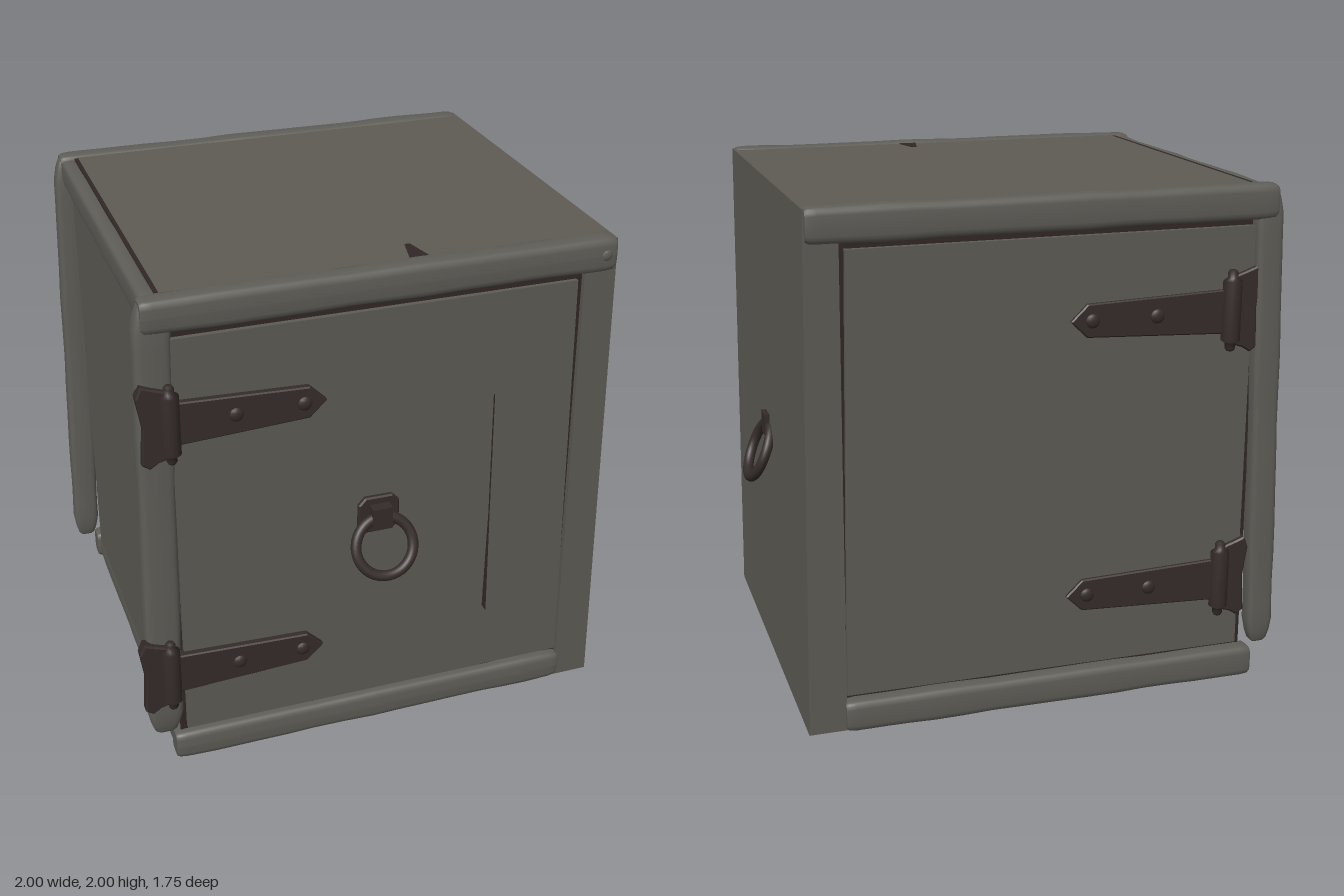
import * as THREE from 'three';

const material = (name, color) => Object.assign(new THREE.MeshStandardMaterial({ color }), { name });

export function createModel() {
  const wood = material('weathered wood', 0x5e5b54);
  const beamWood = material('beam wood', 0x5f5d57);
  const iron = material('dark iron', 0x352c2a);
  const seam = material('dark seam', 0x302725);
  const model = new THREE.Group();
  model.name = 'cabinet';

  const add = (parent, name, geometry, mat, x = 0, y = 0, z = 0) => {
    const mesh = new THREE.Mesh(geometry, mat);
    mesh.name = name;
    mesh.position.set(x, y, z);
    parent.add(mesh);
    return mesh;
  };
  const vectors = points => points.map(p => new THREE.Vector2(...p));
  const plate = (points, depth, bevel = 0) => new THREE.ExtrudeGeometry(new THREE.Shape(vectors(points)), {
    depth, bevelEnabled: bevel > 0, bevelSize: bevel, bevelThickness: bevel, bevelOffset: -bevel, bevelSegments: 1,
  });
  const block = (name, mat, x0, x1, y0, y1, z0, z1) => add(model, name,
    new THREE.BoxGeometry(x1 - x0, y1 - y0, z1 - z0), mat, (x0 + x1) / 2, (y0 + y1) / 2, (z0 + z1) / 2);

  // Rounded, uneven beam between two points; rx, rz are half sizes, the ends
  // shrink to endSize over the distance endLength
  const beam = (name, from, to, rx, rz, phase, endSize = 0.85, endLength = 0.02) => {
    const a = new THREE.Vector3(...from), b = new THREE.Vector3(...to);
    const length = a.distanceTo(b);
    const g = new THREE.CylinderGeometry(1, 1, length, 20, 20);
    const p = g.attributes.position;
    const soft = v => Math.sign(v) * Math.pow(Math.abs(v), 0.5);
    for (let i = 0; i < p.count; i++) {
      const t = 0.5 * Math.sin(Math.PI * p.getY(i) / length);
      const worn = 0.97 + 0.025 * Math.sin(t * 17 + phase) + 0.015 * Math.sin(t * 31 + phase * 2);
      const toEnd = Math.max(0, Math.min(1, length * (0.5 - Math.abs(t)) / endLength));
      const s = worn * (endSize + (1 - endSize) * Math.sqrt(toEnd));
      p.setXYZ(i, soft(p.getX(i)) * rx * s, t * length, soft(p.getZ(i)) * rz * s);
    }
    g.computeVertexNormals();
    const mesh = add(model, name, g, beamWood, ...a.clone().add(b).multiplyScalar(0.5).toArray());
    mesh.quaternion.setFromUnitVectors(new THREE.Vector3(0, 1, 0), b.sub(a).normalize());
  };

  // Carcass and the slanted right side
  block('carcass', wood, -0.845, 0.8, 0.02, 1.985, -0.79, 0.7);
  add(model, 'rightSide', plate([[0.77, 0.01], [0.915, 0.01], [0.88, 1.99], [0.755, 1.99]], 1.56), wood, 0, 0, -0.83);
  block('topBoard', wood, -0.83, 0.88, 1.95, 1.99, -0.78, 0.66);

  // Raised left panel over its dark surround
  block('leftPanelGap', seam, -0.85, -0.84, 0.1, 1.89, -0.775, 0.66);
  block('leftPanel', wood, -0.872, -0.845, 0.12, 1.85, -0.735, 0.635);

  // Doors, raised inside dark gaps
  const gap = new THREE.Shape(vectors([[-0.85, 0.125], [0.785, 0.125], [0.76, 1.875], [-0.85, 1.875]]));
  gap.holes.push(new THREE.Path(vectors([[-0.825, 0.147], [-0.825, 1.84], [0.733, 1.84], [0.765, 0.147]])));
  const gapGeometry = new THREE.ExtrudeGeometry(gap, { depth: 0.008, bevelEnabled: false });
  add(model, 'frontDoorGap', gapGeometry, seam, 0, 0, 0.7);
  add(model, 'backDoorGap', gapGeometry, seam, 0, 0, -0.798);
  add(model, 'frontDoorWidePlank', plate([[-0.825, 0.147], [0.425, 0.147], [0.425, 1.84], [-0.825, 1.84]], 0.028), wood, 0, 0, 0.7);
  add(model, 'frontDoorNarrowPlank', plate([[0.425, 0.147], [0.765, 0.147], [0.733, 1.84], [0.425, 1.84]], 0.025), wood, 0, 0, 0.7);
  add(model, 'backDoor', plate([[-0.825, 0.147], [0.765, 0.147], [0.733, 1.84], [-0.825, 1.84]], 0.03), wood, 0, 0, -0.82);
  block('topGap', seam, -0.845, -0.825, 1.982, 1.99, -0.77, 0.65);

  // Cracks in the door and top board
  add(model, 'doorCrack', plate([[0.415, 0.45], [0.433, 0.42], [0.426, 0.9], [0.42, 1.42], [0.415, 1.42], [0.421, 0.9]], 0.004), seam, 0, 0, 0.725);
  const notch = add(model, 'topCrack', plate([[0.085, -0.67], [0.165, -0.67], [0.135, -0.535], [0.115, -0.535]], 0.004), seam, 0, 1.988, 0);
  notch.rotation.x = -Math.PI / 2;

  // Beams along the front, back and left edges
  beam('frontTopBeam', [-0.915, 1.932, 0.7], [0.875, 1.932, 0.7], 0.068, 0.052, 0);
  beam('frontBottomBeam', [-0.875, 0.07, 0.7], [0.775, 0.07, 0.7], 0.064, 0.052, 1);
  beam('backTopBeam', [-0.9, 1.932, -0.815], [0.875, 1.932, -0.815], 0.068, 0.048, 2);
  beam('backBottomBeam', [-0.88, 0.07, -0.815], [0.775, 0.07, -0.815], 0.064, 0.048, 3);
  beam('frontPost', [-0.908, 0.14, 0.695], [-0.873, 1.985, 0.695], 0.071, 0.045, 4, 0.45, 0.1);
  beam('backPost', [-0.925, 0.14, -0.81], [-0.873, 1.985, -0.81], 0.057, 0.042, 5, 0.45, 0.1);
  beam('leftTopBeam', [-0.868, 1.93, -0.78], [-0.868, 1.93, 0.67], 0.036, 0.058, 6);
  beam('leftBottomBeam', [-0.84, 0.075, -0.78], [-0.84, 0.075, 0.67], 0.034, 0.055, 7);
  const peg = add(model, 'beamPeg', new THREE.SphereGeometry(0.025, 12, 8), beamWood, 0.83, 1.935, 0.745);
  peg.scale.z = 0.5;

  // Strap hinge; side -1 mirrors it onto the back
  const addHinge = (name, x, y, z, length, side) => {
    const hinge = new THREE.Group();
    hinge.name = name;
    hinge.position.set(x, y, z);
    hinge.scale.z = side;
    model.add(hinge);
    add(hinge, 'hingePlate', plate([[0, -0.13], [-0.05, -0.145], [-0.08, -0.165], [-0.11, -0.145], [-0.1, 0],
      [-0.118, 0.12], [-0.1, 0.165], [-0.06, 0.15], [0, 0.13]], 0.04, 0.006), iron);
    add(hinge, 'hingeStrap', plate([[0, -0.09], [length - 0.065, -0.063], [length, 0], [length - 0.065, 0.063],
      [0, 0.082]], 0.035, 0.005), iron);
    const barrel = [[0, -0.155], [0.014, -0.155], [0.02, -0.145], [0.02, -0.125], [0.036, -0.115],
      [0.036, 0.115], [0.02, 0.125], [0.02, 0.145], [0.014, 0.155], [0, 0.155]];
    add(hinge, 'hingeBarrel', new THREE.LatheGeometry(vectors(barrel), 16), iron, 0, 0, 0.038);
    for (const rx of [length - 0.34, length - 0.085]) {
      const rivet = add(hinge, 'rivet', new THREE.SphereGeometry(0.028, 12, 8), iron, rx, 0, 0.039);
      rivet.scale.z = 0.5;
    }
  };
  addHinge('upperFrontHinge', -0.835, 1.525, 0.715, 0.58, 1);
  addHinge('lowerFrontHinge', -0.882, 0.44, 0.715, 0.61, 1);
  addHinge('upperBackHinge', -0.735, 1.525, -0.795, 0.64, -1);
  addHinge('lowerBackHinge', -0.735, 0.44, -0.795, 0.64, -1);

  // Hanging ring pull with a chamfered plate and staple
  const addPull = (name, x, y, z, turn) => {
    const pull = new THREE.Group();
    pull.name = name;
    pull.position.set(x, y, z);
    pull.rotation.y = turn;
    model.add(pull);
    add(pull, 'pullPlate', plate([[-0.055, -0.08], [0.055, -0.08], [0.082, -0.05], [0.082, 0.045], [0.055, 0.075],
      [-0.055, 0.075], [-0.082, 0.045], [-0.082, -0.05]], 0.038, 0.006), iron);
    add(pull, 'pullStaple', new THREE.BoxGeometry(0.08, 0.09, 0.09), iron, 0, 0, 0.042);
    const ring = add(pull, 'pullRing', new THREE.TorusGeometry(0.115, 0.021, 12, 40), iron, 0, -0.107, 0.108);
    ring.rotation.x = -0.4;
  };
  addPull('frontPull', -0.045, 0.995, 0.703, 0);
  addPull('sidePull', 0.83, 0.995, -0.045, Math.PI / 2);

  return model;
}
